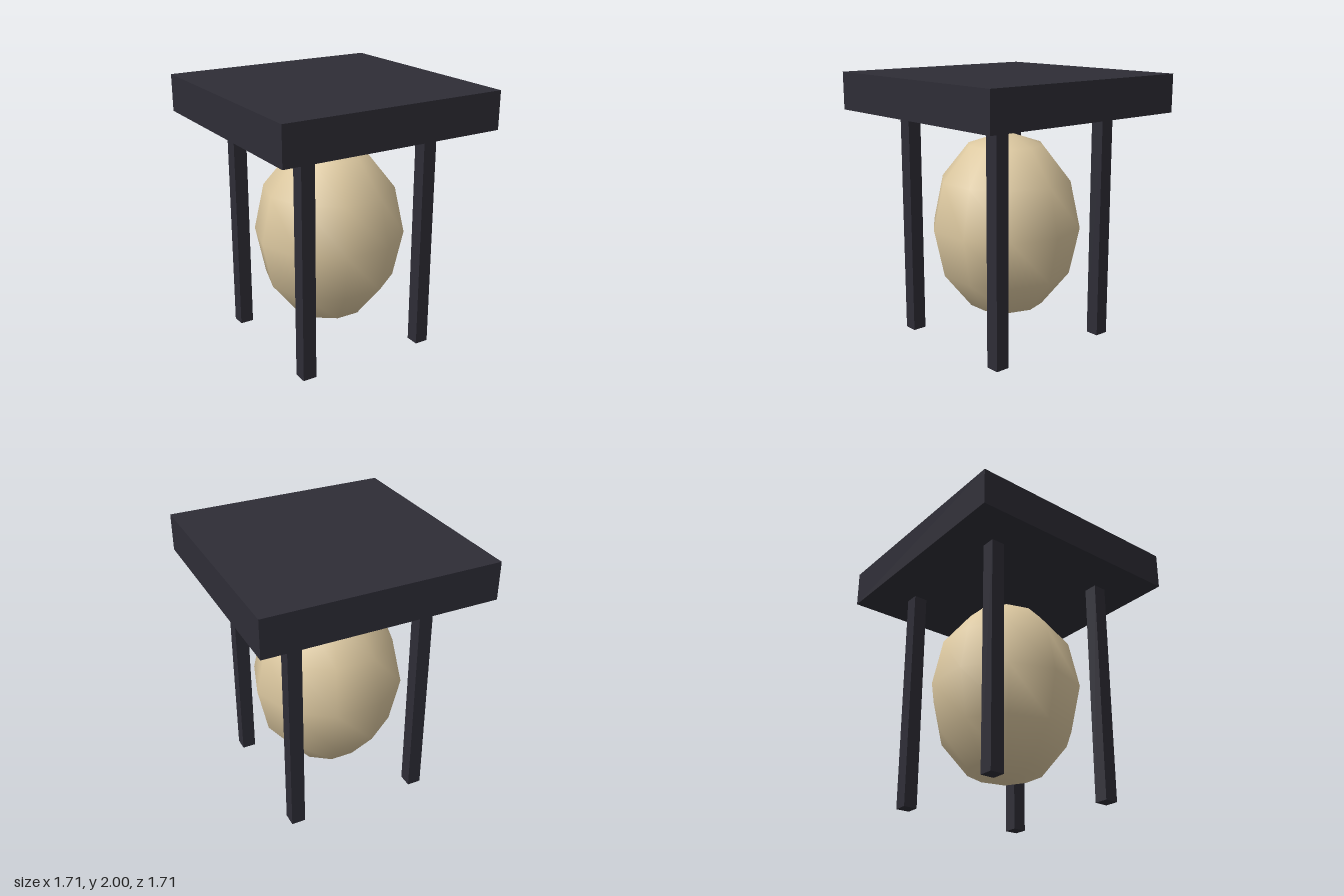
import * as THREE from 'three';

export function createModel() {
  const model = new THREE.Group();
  model.name = 'eggStand';
  const charcoal = new THREE.MeshStandardMaterial({ name: 'charcoal', color: 0x2e2d36 });
  const cream = new THREE.MeshStandardMaterial({ name: 'cream', color: 0xdcc8a0 });

  const add = (name, geometry, material, x, y, z) => {
    const mesh = new THREE.Mesh(geometry, material);
    mesh.name = name;
    mesh.position.set(x, y, z);
    model.add(mesh);
    return mesh;
  };

  // Square slab on top
  add('topSlab', new THREE.BoxGeometry(1.71, 0.28, 1.71), charcoal, 0, 1.86, 0);

  // Four square legs
  const legGeometry = new THREE.BoxGeometry(0.105, 1.72, 0.105);
  for (const [side, x] of [['Left', 0.503], ['Right', -0.503]]) {
    add('front' + side + 'Leg', legGeometry, charcoal, x, 0.86, 0.503);
    add('back' + side + 'Leg', legGeometry, charcoal, x, 0.86, -0.503);
  }

  // Smooth-shaded, coarse ellipsoid held between the legs
  const eggGeometry = new THREE.SphereGeometry(0.57, 10, 6);
  eggGeometry.scale(1, 0.712 / 0.57, 1);
  add('egg', eggGeometry, cream, 0, 0.86, 0);

  return model;
}
